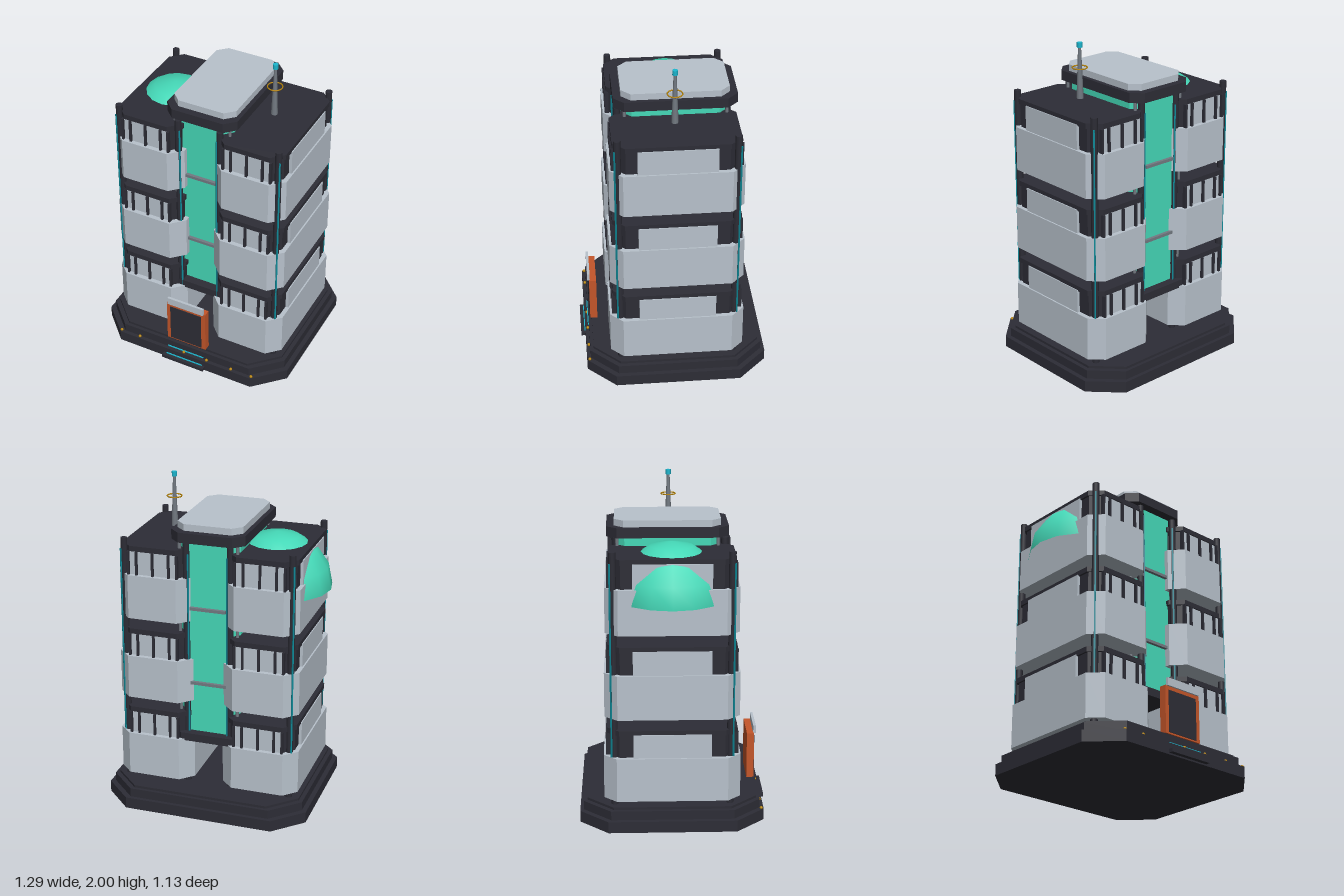
import * as THREE from 'three';

const mat = (name, color, side = THREE.FrontSide) => {
  const m = new THREE.MeshStandardMaterial({ color, side });
  m.name = name;
  return m;
};

export function createModel() {
  const pale = mat('paleConcrete', 0xb8c2cc);
  const dark = mat('darkMetal', 0x2d2d36);
  const green = mat('greenGlass', 0x45d9b8, THREE.DoubleSide);
  const orange = mat('orangeFrame', 0xc4562a);
  const grey = mat('greyMetal', 0x737a82);
  const teal = mat('tealLight', 0x0f8a98);
  const cyan = mat('cyanLight', 0x1cb8d0);
  const gold = mat('gold', 0xb8860b);

  const model = new THREE.Group();
  model.name = 'tower';
  const CX = 0.01, CZ = -0.012;

  const add = (parent, name, geo, m, x = 0, y = 0, z = 0) => {
    const mesh = new THREE.Mesh(geo, m);
    mesh.name = name;
    mesh.position.set(x, y, z);
    parent.add(mesh);
    return mesh;
  };
  const box = (parent, name, m, w, h, d, x, y, z) =>
    add(parent, name, new THREE.BoxGeometry(w, h, d), m, x, y, z);
  // Upright prism with chamfered corners: half sizes a, b, chamfer c, from y0 to y1
  const prism = (parent, name, m, a, b, c, y0, y1, x, z) => {
    const s = new THREE.Shape([[a, c - b], [a, b - c], [a - c, b], [c - a, b], [-a, b - c],
      [-a, c - b], [c - a, -b], [a - c, -b]].map(p => new THREE.Vector2(...p)));
    const g = new THREE.ExtrudeGeometry(s, { depth: y1 - y0, bevelEnabled: false });
    g.rotateX(-Math.PI / 2);
    return add(parent, name, g, m, x, y0, z);
  };

  // Stepped base
  prism(model, 'baseLower', dark, 0.634, 0.553, 0.172, 0, 0.07, CX, CZ);
  prism(model, 'baseMiddle', dark, 0.605, 0.53, 0.165, 0.07, 0.125, CX, CZ);
  prism(model, 'baseTop', dark, 0.58, 0.51, 0.16, 0.125, 0.14, CX, CZ);
  box(model, 'doorStep', dark, 0.29, 0.022, 0.03, CX, 0.021, 0.553);
  box(model, 'stepLight', cyan, 0.25, 0.006, 0.006, CX, 0.035, 0.544);
  box(model, 'baseLight', cyan, 0.25, 0.006, 0.008, CX, 0.08, 0.52);
  for (const x of [-0.45, -0.317, 0, 0.16, 0.33, 0.47])
    add(model, 'baseLamp', new THREE.SphereGeometry(0.01, 8, 6), gold, x, 0.075, 0.526);

  // Two wings of three floating floors
  for (const side of [-1, 1]) {
    const wing = new THREE.Group();
    wing.name = side > 0 ? 'leftWing' : 'rightWing';
    wing.position.set(CX + side * 0.328, 0, CZ);
    model.add(wing);
    [[0.17, 0.238, 0.406], [0.68, 0.234, 0.399], [1.19, 0.227, 0.391]].forEach(([y, a, b], i) => {
      const top = y + (i === 2 ? 0.445 : 0.44);
      prism(wing, 'parapet', pale, a, b, 0.077, y, y + 0.27, 0, 0);
      prism(wing, 'windowCore', dark, a - 0.027, b - 0.034, 0.06, y + 0.27, top - 0.032, 0, 0);
      prism(wing, 'floorSlab', dark, a - 0.015, b - 0.021, 0.07, top - 0.032, top, 0, 0);
      box(wing, 'sidePanel', pale, 0.03, top - 0.025 - y - 0.27, 0.46,
        side * (a - 0.024), (y + 0.27 + top - 0.025) / 2, 0);
      for (const f of [-1, 1]) {
        const yc = (y + 0.27 + top - 0.032) / 2, h = top - y - 0.302;
        box(wing, 'windowPanel', pale, 0.3, h, 0.008, 0, yc, f * (b - 0.032));
        for (let k = -2; k <= 2; k++)
          box(wing, 'mullion', dark, 0.013, h, 0.024, k * (Math.abs(k) === 2 ? 0.075 : 0.1), yc, f * (b - 0.025));
      }
    });
    // Corner posts with light strips facing outwards
    for (const f of [-1, 1])
      for (const [dx, dz, out] of [[0.186, 0.343, side], [-0.193, 0.322, -side]]) {
        const x = side * dx, z = f * dz;
        add(wing, 'post', new THREE.CylinderGeometry(0.021, 0.021, 1.535, 8), dark, x, 0.9075, z);
        const strip = box(wing, 'postLight', teal, 0.009, 1.42, 0.009, x + out * 0.0145, 0.9, z + f * 0.0155);
        strip.rotation.y = Math.PI / 4;
      }
  }

  // Glazed central core with its floor and roof
  const KZ = -0.03;
  prism(model, 'coreFloor', dark, 0.222, 0.36, 0.06, 0.43, 0.48, CX, KZ);
  prism(model, 'coreGlass', green, 0.185, 0.305, 0.05, 0.48, 1.69, CX, KZ);
  prism(model, 'coreCornice', dark, 0.226, 0.362, 0.062, 1.69, 1.75, CX, KZ);
  prism(model, 'coreRoof', pale, 0.2, 0.316, 0.055, 1.75, 1.79, CX, KZ);
  for (const sx of [-1, 1])
    for (const sz of [-1, 1])
      add(model, 'coreRod', new THREE.CylinderGeometry(0.01, 0.01, 1.21, 8), grey,
        CX + sx * 0.178, 1.085, KZ + sz * 0.298);
  for (const y of [0.8, 1.275])
    for (const sz of [-1, 1])
      box(model, 'coreBar', grey, 0.22, 0.018, 0.025, CX, y, KZ + sz * 0.312);

  // Entrance portal
  box(model, 'doorFrame', orange, 0.267, 0.29, 0.045, CX, 0.285, 0.484);
  box(model, 'door', dark, 0.214, 0.255, 0.008, CX - 0.002, 0.277, 0.506);
  box(model, 'doorLintel', pale, 0.245, 0.048, 0.016, CX, 0.452, 0.509);

  // Dome breaking through the roof and side wall
  add(model, 'dome', new THREE.SphereGeometry(0.33, 16, 4, 0, Math.PI * 2, 0, Math.PI / 2), green,
    -0.315, 1.365, CZ);

  // Antenna
  add(model, 'antennaMast', new THREE.CylinderGeometry(0.009, 0.021, 0.305, 8), grey, 0.332, 1.8175, CZ);
  add(model, 'antennaTip', new THREE.CylinderGeometry(0.016, 0.016, 0.03, 8), cyan, 0.332, 1.985, CZ);
  const ring = add(model, 'antennaRing', new THREE.TorusGeometry(0.044, 0.004, 6, 20), gold, 0.332, 1.85, CZ);
  ring.rotation.x = Math.PI / 2;

  return model;
}
